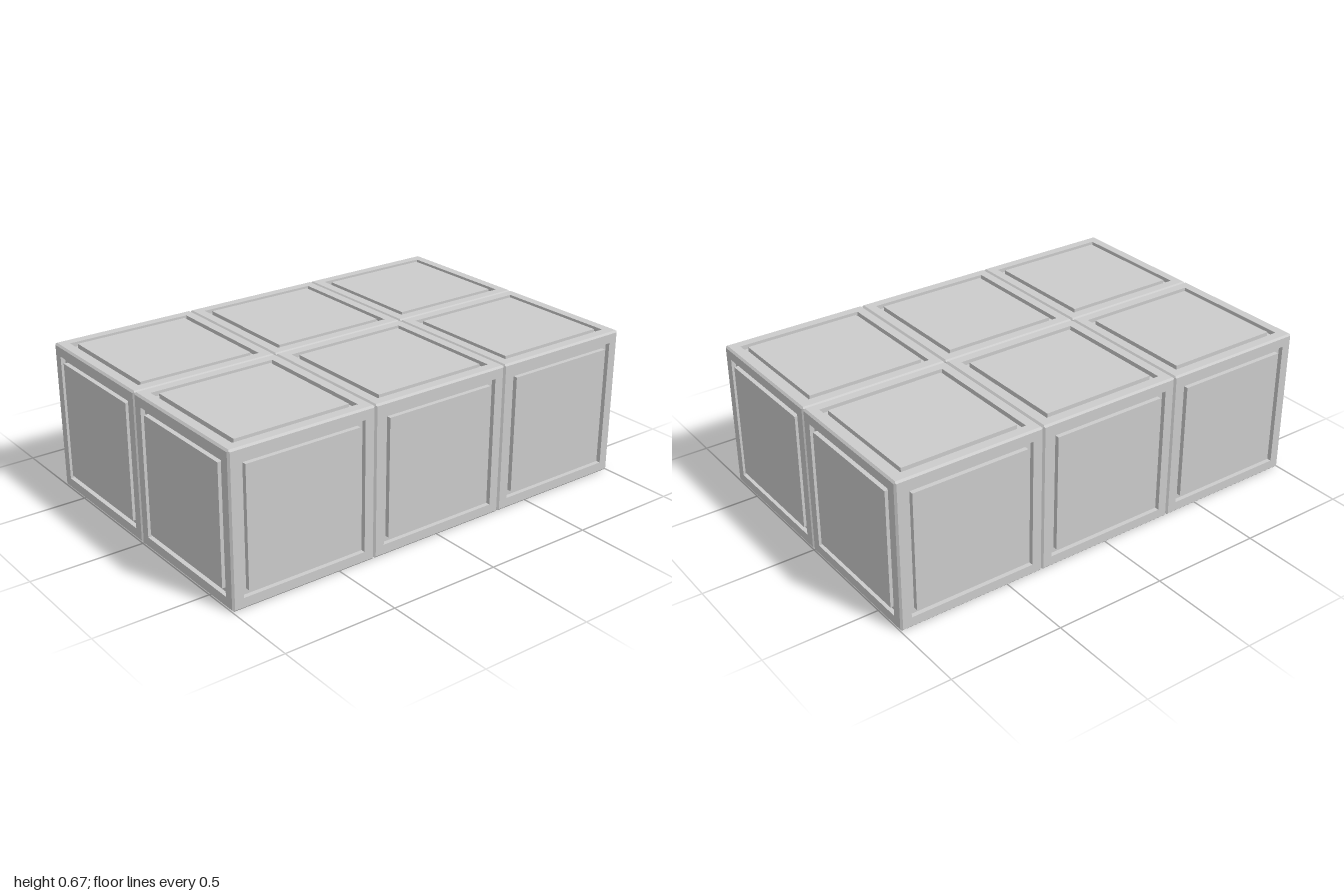
import * as THREE from 'three';
import { mergeGeometries } from 'three/addons/utils/BufferGeometryUtils.js';

const SIZE = 2 / 3;      // cube edge length
const H = SIZE / 2;
const CHAMFER = 0.008;   // bevel along the cube edges
const GROOVE_OUT = 0.285; // half-widths and depth of the square groove
const GROOVE_IN = 0.261;
const DEPTH = 0.02;

// One cube side: a square (four-segment) lathe from the chamfer to the panel centre
function sideGeometry() {
  const profile = [
    [H - CHAMFER / 2, H - CHAMFER / 2],
    [H - CHAMFER, H],
    [GROOVE_OUT, H],
    [GROOVE_OUT, H - DEPTH],
    [GROOVE_IN, H - DEPTH],
    [GROOVE_IN, H],
    [0, H],
  ].map(([half, y]) => new THREE.Vector2(half * Math.SQRT2, y));
  const geometry = new THREE.LatheGeometry(profile, 4, Math.PI / 4).toNonIndexed();
  geometry.computeVertexNormals();
  return geometry;
}

// Six identical sides turned to face each direction
function cubeGeometry() {
  const q = Math.PI / 2;
  const turns = [[0, 0], [q, 0], [2 * q, 0], [-q, 0], [0, q], [0, -q]];
  const side = sideGeometry();
  return mergeGeometries(turns.map(([rx, rz]) => side.clone().rotateX(rx).rotateZ(rz)));
}

export function createModel() {
  const model = new THREE.Group();
  model.name = 'cubeBlock';
  const material = new THREE.MeshStandardMaterial({ color: 0xcccccc, flatShading: true });
  const geometry = cubeGeometry();

  // Three cubes across, two deep
  for (let row = 0; row < 2; row++) {
    for (let col = 0; col < 3; col++) {
      const cube = new THREE.Mesh(geometry, material);
      cube.name = `panelledCube${row * 3 + col + 1}`;
      cube.position.set((col - 1) * SIZE, H, (0.5 - row) * SIZE);
      model.add(cube);
    }
  }
  return model;
}
